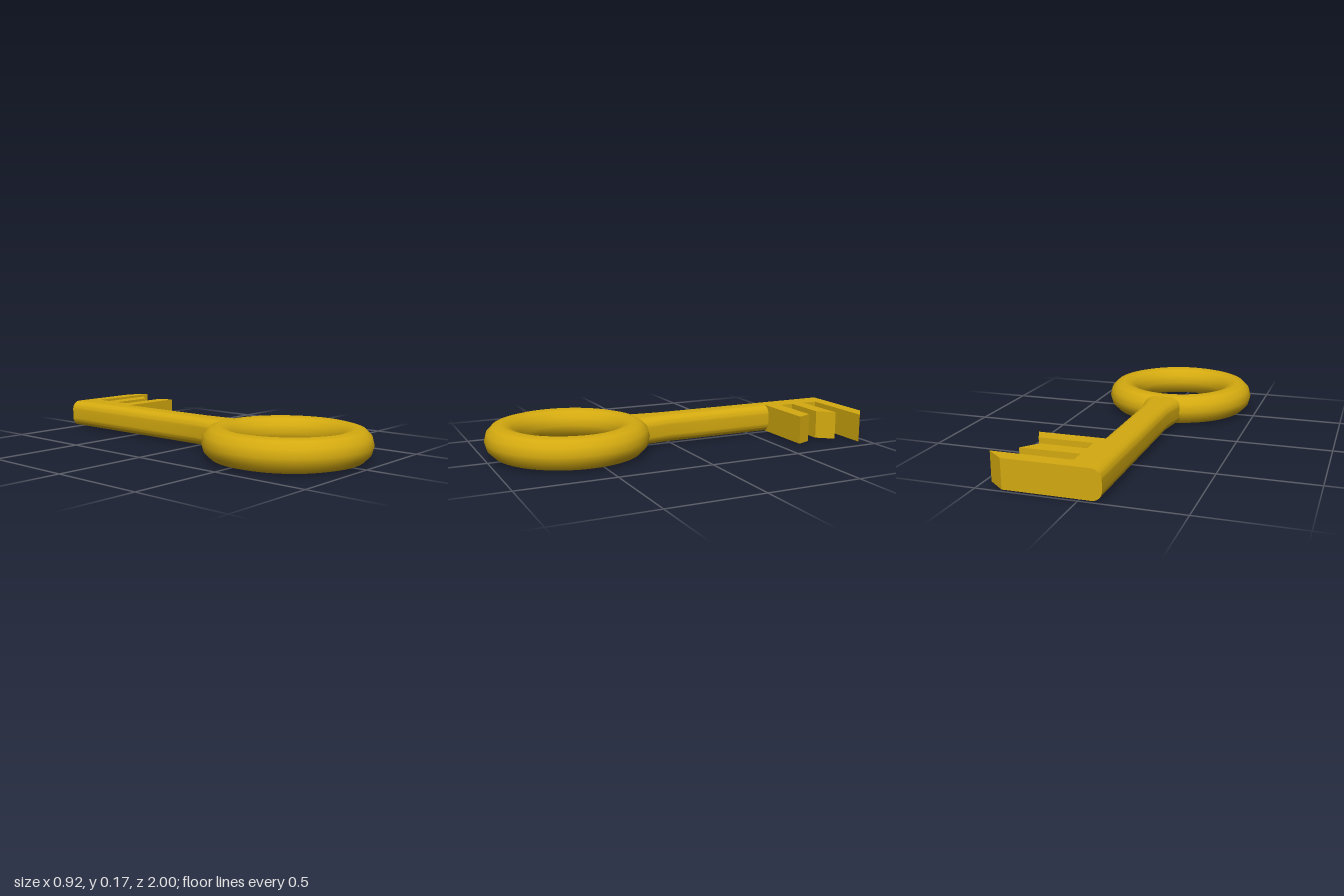
import * as THREE from 'three';
import { toCreasedNormals } from 'three/addons/utils/BufferGeometryUtils.js';

const AXIS_X = -0.035; // centre line of ring and shaft
const MID_Y = 0.087;

export function createModel() {
  const group = new THREE.Group();
  const gold = new THREE.MeshStandardMaterial({ color: 0xd4aa10 });
  const add = (name, geometry) => {
    const mesh = new THREE.Mesh(geometry, gold);
    mesh.name = name;
    group.add(mesh);
    return mesh;
  };

  // Ring handle lying flat
  const ring = add('ringHandle', new THREE.TorusGeometry(0.342, 0.084, 12, 64).rotateX(Math.PI / 2));
  ring.position.set(AXIS_X, MID_Y, 0.57);

  // Shaft: rounded bar that flares where it runs into the ring
  const w = 0.079, h = 0.075, r = 0.05;
  const section = new THREE.Shape();
  section.absarc(w - r, h - r, r, 0, Math.PI / 2);
  section.absarc(r - w, h - r, r, Math.PI / 2, Math.PI);
  section.absarc(r - w, r - h, r, Math.PI, Math.PI * 1.5);
  section.absarc(w - r, r - h, r, Math.PI * 1.5, Math.PI * 2);
  section.closePath();
  const bar = new THREE.ExtrudeGeometry(section, { depth: 1.22, steps: 6, bevelEnabled: false, curveSegments: 5 });
  const pos = bar.attributes.position;
  for (let i = 0; i < pos.count; i++) {
    if (pos.getZ(i) > 1.1) pos.setX(i, pos.getX(i) * 1.45);
  }
  add('shaft', toCreasedNormals(bar, 0.6)).position.set(AXIS_X, MID_Y, -1);

  // Bit: comb of three slanted teeth, outlined as [x, distance behind centre]
  const outline = [
    [-0.04, 0.605], [0.36, 0.605], [0.325, 0.685], [0.045, 0.685],
    [0.045, 0.765], [0.28, 0.765], [0.347, 0.847], [0.045, 0.842],
    [0.045, 0.925], [0.455, 0.925], [0.365, 1], [-0.04, 1],
  ];
  const comb = new THREE.Shape(outline.map(([x, y]) => new THREE.Vector2(x, y)));
  const bit = new THREE.ExtrudeGeometry(comb, { depth: 2 * h, bevelEnabled: false });
  add('bitTeeth', bit.rotateX(-Math.PI / 2)).position.y = MID_Y - h;

  return group;
}
